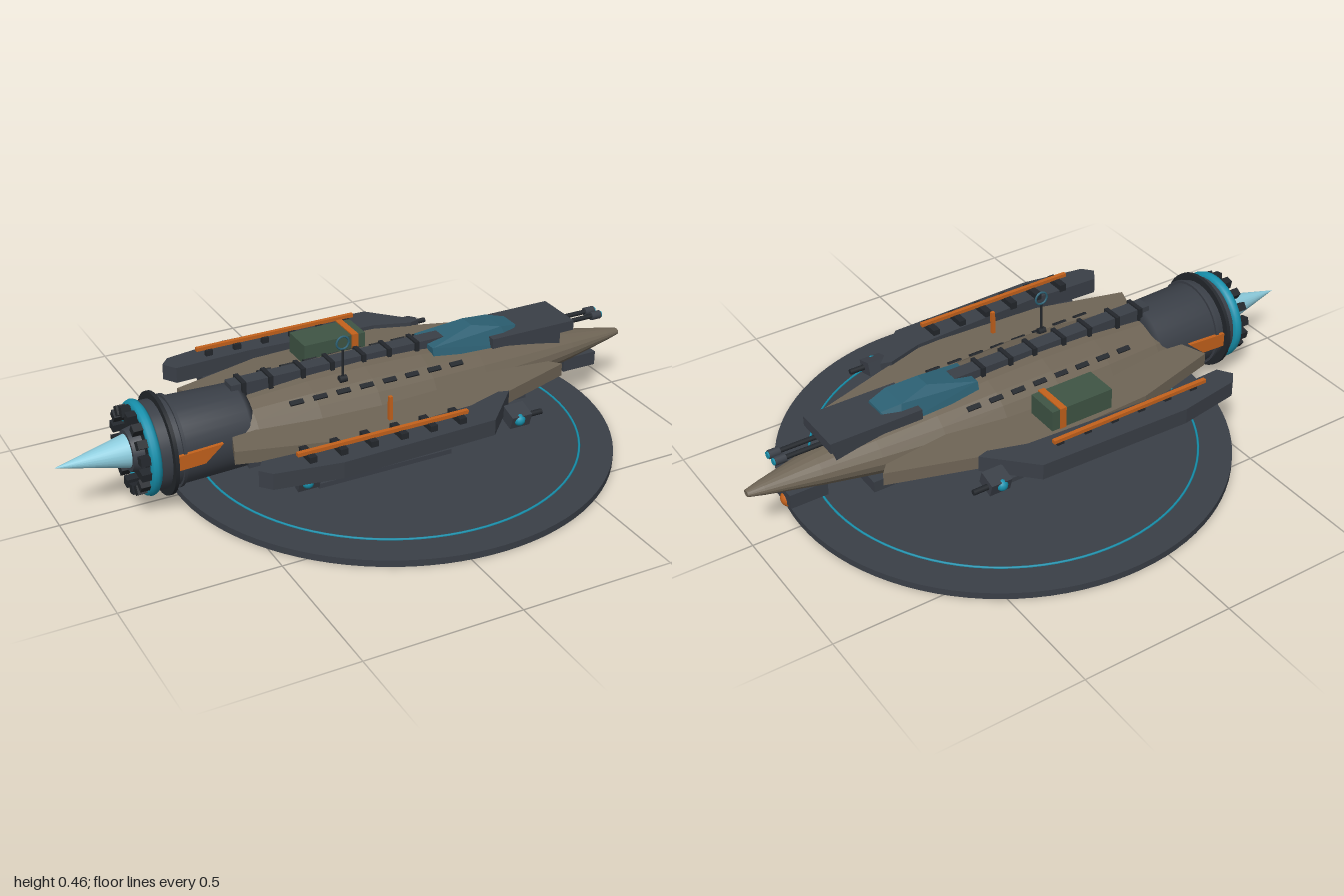
import * as THREE from 'three';
import { ConvexGeometry } from 'three/addons/geometries/ConvexGeometry.js';

const mat = (name, color, extra = {}) => Object.assign(new THREE.MeshStandardMaterial({ color, ...extra }), { name });

export function createModel() {
  const tan = mat('hull tan', 0x6f6556, { flatShading: true });
  const dark = mat('dark grey', 0x3a3f47);
  const black = mat('near black', 0x23272c);
  const cyan = mat('cyan', 0x1791ad);
  const pale = mat('pale blue', 0x8ccbdc);
  const orange = mat('orange', 0xc4621c);
  const green = mat('cargo green', 0x3f5545);
  const teal = mat('canopy teal', 0x2c6073, { flatShading: true });
  const model = new THREE.Group();
  const AXIS = 0.2; // height of the hull axis

  const add = (name, geo, m, x = 0, y = 0, z = 0) => {
    const mesh = new THREE.Mesh(geo, m);
    mesh.name = name;
    mesh.position.set(x, y, z);
    model.add(mesh);
    return mesh;
  };
  // box given by its limits
  const box = (name, m, x0, x1, y0, y1, z0, z1) =>
    add(name, new THREE.BoxGeometry(x1 - x0, y1 - y0, z1 - z0), m, (x0 + x1) / 2, (y0 + y1) / 2, (z0 + z1) / 2);
  // cylinder along x
  const rod = (name, m, x0, x1, r0, r1, y, z, sides = 16) =>
    add(name, new THREE.CylinderGeometry(r1, r0, x1 - x0, sides).rotateZ(-Math.PI / 2), m, (x0 + x1) / 2, y, z);
  // profile of [x, radius] spun around x
  const spin = (profile, sides) =>
    new THREE.LatheGeometry(profile.map(([x, r]) => new THREE.Vector2(r, x)), sides).rotateZ(-Math.PI / 2);
  // flat slab with an outline in x and z
  const slab = (name, m, outline, y0, y1, side) => {
    const shape = new THREE.Shape(outline.map(([x, z]) => new THREE.Vector2(x, z * side)));
    const geo = new THREE.ExtrudeGeometry(shape, { depth: y1 - y0, bevelEnabled: false }).rotateX(Math.PI / 2);
    return add(name, geo, m, 0, y1, 0);
  };
  // slim bar between two points
  const bar = (name, m, a, b, r) => {
    const p = new THREE.Vector3(...a), q = new THREE.Vector3(...b);
    const mesh = add(name, new THREE.CylinderGeometry(r, r, p.distanceTo(q), 8), m);
    mesh.position.copy(p).add(q).multiplyScalar(0.5);
    mesh.quaternion.setFromUnitVectors(new THREE.Vector3(0, 1, 0), q.sub(p).normalize());
  };

  // display base with glowing ring
  add('base', new THREE.CylinderGeometry(0.73, 0.73, 0.022, 96), dark, 0.11, 0.013, 0);
  add('baseRing', new THREE.TorusGeometry(0.622, 0.004, 6, 96).rotateX(Math.PI / 2), cyan, 0.11, 0.025, 0);

  // hull: flattened spindle
  const hullProfile = [[-0.55, 0], [-0.55, 0.11], [-0.4, 0.148], [-0.2, 0.172], [0, 0.181], [0.2, 0.172],
    [0.4, 0.143], [0.6, 0.105], [0.78, 0.068], [0.95, 0.028], [1, 0.014], [1, 0]];
  add('hull', spin(hullProfile, 20).scale(1, 0.73, 1), tan, 0, AXIS, 0);
  box('keel', dark, -0.4, 0.61, 0.062, 0.1, -0.05, 0.05);

  // engine shroud, flange, nozzle and exhaust
  const shroudProfile = [[-0.71, 0.1], [-0.71, 0.14], [-0.42, 0.132], [-0.4, 0.124], [-0.4, 0]];
  add('engineShroud', spin(shroudProfile, 32), dark, 0, AXIS, 0);
  rod('engineFlange', black, -0.68, -0.668, 0.162, 0.162, AXIS, 0, 40);
  rod('flangeBand', dark, -0.645, -0.635, 0.146, 0.146, AXIS, 0, 40);
  rod('engineBack', black, -0.74, -0.7, 0.125, 0.125, AXIS, 0, 32);
  add('engineRing', new THREE.TorusGeometry(0.132, 0.018, 10, 48).rotateY(Math.PI / 2), cyan, -0.73, AXIS, 0);
  for (let i = 0; i < 16; i++) {
    const a = (i + 0.5) / 16 * Math.PI * 2;
    const nub = add('nozzleBlock', new THREE.BoxGeometry(0.05, 0.03, 0.026), black,
      -0.752, AXIS + Math.cos(a) * 0.123, Math.sin(a) * 0.123);
    nub.rotation.x = a;
  }
  rod('exhaustNozzle', dark, -0.775, -0.73, 0.065, 0.075, AXIS, 0, 24);
  rod('exhaustCone', pale, -1, -0.76, 0, 0.056, AXIS, 0, 24);

  // dorsal spine with clamps
  box('spine', dark, -0.44, 0.3, 0.3, 0.348, -0.025, 0.025);
  for (const x of [-0.4, -0.31, -0.2, -0.1, 0.01, 0.1, 0.2])
    box('spineClamp', black, x - 0.007, x + 0.007, 0.31, 0.354, -0.034, 0.034);

  // canopy
  const canopyPoints = [];
  for (const s of [-1, 1])
    for (const [x, y, z] of [[0.24, 0.3, 0.07], [0.52, 0.29, 0.072], [0.57, 0.29, 0.04], [0.24, 0.335, 0.06],
      [0.4, 0.368, 0.028], [0.5, 0.35, 0.05], [0.565, 0.336, 0.035]])
      canopyPoints.push(new THREE.Vector3(x, y, z * s));
  add('canopy', new ConvexGeometry(canopyPoints), teal);

  // nose gun housing with twin barrels
  box('gunHousing', dark, 0.45, 0.76, 0.295, 0.329, -0.085, 0.085);
  box('gunMount', dark, 0.5, 0.73, 0.235, 0.297, -0.055, 0.055);
  for (const s of [-1, 1]) {
    rod('gunBarrel', black, 0.72, 0.89, 0.008, 0.008, 0.291, s * 0.019, 10);
    rod('gunMuzzle', dark, 0.875, 0.91, 0.014, 0.014, 0.291, s * 0.019, 12);
    rod('gunGlow', cyan, 0.909, 0.915, 0.011, 0.011, 0.291, s * 0.019, 12);
  }

  // chin sensor
  box('chinMount', dark, 0.76, 0.885, 0.12, 0.168, -0.045, 0.045);
  rod('chinBarrel', black, 0.8, 0.87, 0.028, 0.028, 0.125, 0, 16);
  add('chinSensor', new THREE.SphereGeometry(0.027, 16, 12), orange, 0.868, 0.125, 0);

  // parts on both sides
  const wingOutline = [[-0.52, 0.225], [-0.22, 0.305], [0.23, 0.325], [0.65, 0.19], [0.62, 0.155],
    [0.33, 0.12], [-0.3, 0.12], [-0.49, 0.14]];
  const podOutline = [[-0.51, 0.375], [-0.48, 0.41], [-0.27, 0.445], [0.25, 0.43], [0.385, 0.29],
    [0.35, 0.28], [0.23, 0.318], [-0.22, 0.34], [-0.48, 0.33]];
  for (const s of [-1, 1]) {
    slab('wing', tan, wingOutline, 0.2, 0.243, s);
    slab('sidePod', dark, podOutline, 0.203, 0.256, s);
    box('podRail', orange, -0.39, 0.18, 0.274, 0.286, s * 0.38 - 0.007, s * 0.38 + 0.007);
    for (let i = 0; i < 6; i++) {
      const x = -0.35 + i * 0.1;
      const reach = s > 0 ? 0.038 : 0.008;
      box('podRib', black, x - 0.012, x + 0.012, 0.25, 0.275, s * 0.37 - reach, s * 0.37 + reach);
    }
    // turrets under the pods
    for (const x of [-0.36, 0.365]) {
      const y = x < 0 ? 0.182 : 0.205;
      const turret = box('turretMount', dark, x - 0.03, x + 0.04, y - 0.02, y + 0.025, s * 0.36 - 0.03, s * 0.36 + 0.03);
      turret.rotation.x = s * 0.3;
      rod('turretBarrel', black, x, x + 0.09, 0.009, 0.009, y, s * 0.37, 8);
      add('turretLens', new THREE.SphereGeometry(0.019, 14, 10), cyan, x, y, s * 0.385);
    }
    // orange stabiliser on the engine
    const fin = new THREE.Shape([[-0.665, 0.176], [-0.58, 0.18], [-0.52, 0.232], [-0.665, 0.224]].map(p => new THREE.Vector2(...p)));
    add('engineFin', new THREE.ExtrudeGeometry(fin, { depth: 0.012, bevelEnabled: false }), orange, 0, 0, s * 0.141 - 0.006);
    // framed side hatch
    box('hatchFrame', cyan, -0.076, 0.196, 0.143, 0.199, s * 0.182 - 0.004, s * 0.182 + 0.004);
    box('hatch', green, -0.07, 0.19, 0.148, 0.196, s * 0.184 - 0.005, s * 0.184 + 0.005);
    // vents along the upper hull
    for (let i = 0; i < 8; i++) {
      const x = -0.29 + i * 0.08;
      const vent = box('hullVent', black, x, x + 0.045, 0.293, 0.299, s * 0.121 - 0.008, s * 0.121 + 0.008);
      vent.rotation.x = s * 0.5;
    }
    // landing legs and skid
    box('skid', dark, -0.235, 0.235, 0.026, 0.042, s * 0.19 - 0.014, s * 0.19 + 0.014);
    for (const x of [-0.185, 0.195]) {
      bar('legStrut', black, [x, 0.035, s * 0.192], [x, 0.13, s * 0.155], 0.007);
      bar('legSleeve', orange, [x, 0.05, s * 0.186], [x, 0.092, s * 0.17], 0.011);
    }
  }

  // cargo crate with strap
  box('cargoCrate', green, -0.095, 0.125, 0.24, 0.312, -0.295, -0.182);
  box('cargoStrap', orange, 0.076, 0.098, 0.238, 0.316, -0.299, -0.178);

  // marker post
  box('markerPost', orange, -0.026, -0.014, 0.243, 0.322, 0.254, 0.266);

  // antenna with ring
  rod('antennaFoot', black, -0.105, -0.08, 0.012, 0.012, 0.318, 0.085, 8);
  bar('antennaMast', black, [-0.092, 0.3, 0.085], [-0.092, 0.42, 0.085], 0.004);
  add('antennaRing', new THREE.TorusGeometry(0.021, 0.0035, 8, 24), teal, -0.092, 0.441, 0.085);

  return model;
}
